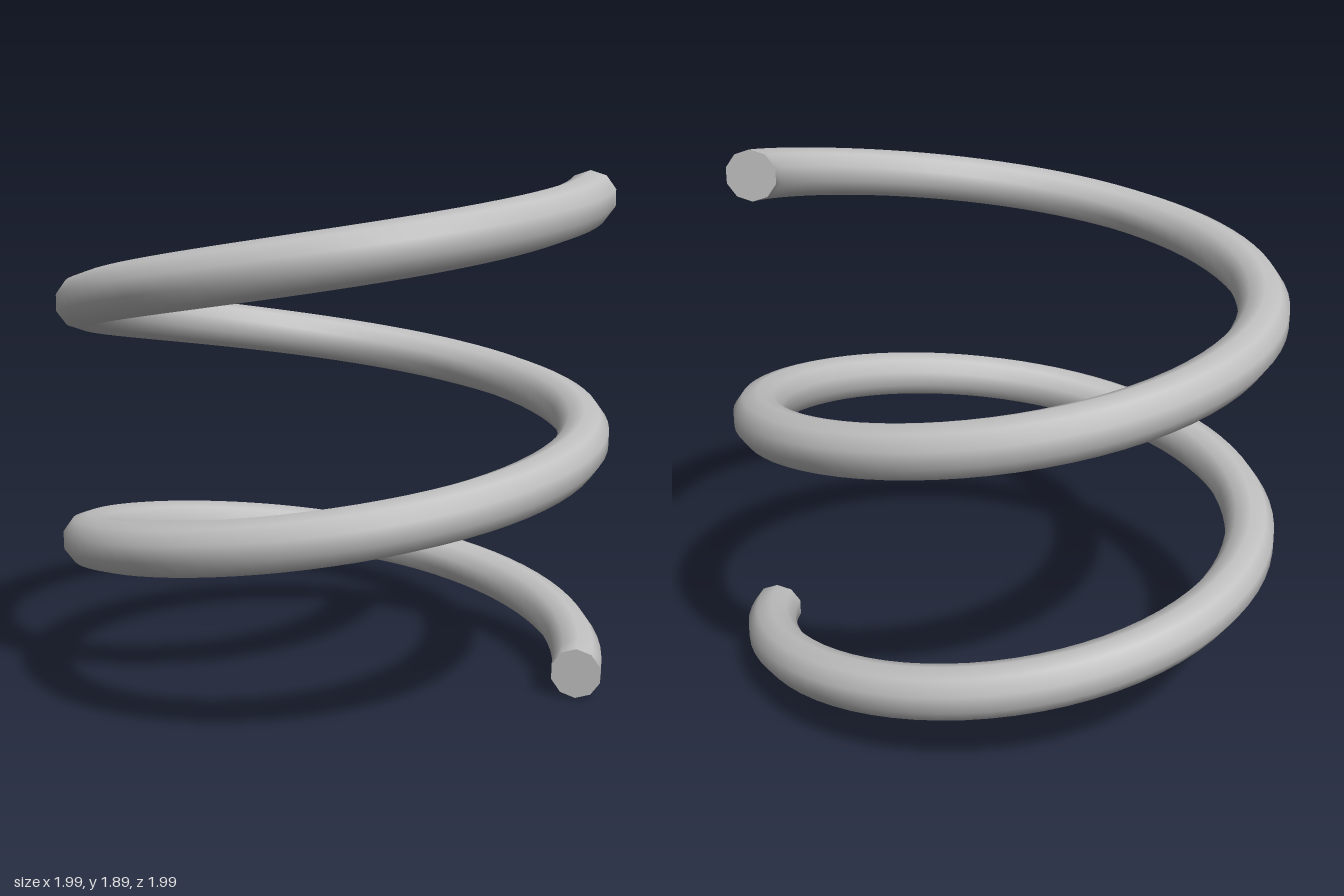
import * as THREE from 'three';

const TURNS = 2, STEPS = 144, SIDES = 10;
const COIL_RADIUS = 0.907, WIRE_RADIUS = 0.0925;
const BOTTOM = 0.0945, TOP = 1.8;
const PHASE = Math.PI / SIDES; // puts a corner at the top of the section

// Wire swept along a helix, with upright radial cross-sections
function coilGeometry() {
  const positions = [], index = [];
  for (let i = 0; i <= STEPS; i++) {
    const t = (i / STEPS) * TURNS * Math.PI * 2;
    const y = BOTTOM + (TOP - BOTTOM) * (i / STEPS);
    for (let j = 0; j < SIDES; j++) {
      const a = PHASE + (j / SIDES) * Math.PI * 2;
      const r = COIL_RADIUS + WIRE_RADIUS * Math.cos(a);
      positions.push(r * Math.cos(t), y + WIRE_RADIUS * Math.sin(a), -r * Math.sin(t));
      if (i < STEPS) {
        const k = (j + 1) % SIDES;
        const p = i * SIDES + j, q = i * SIDES + k;
        index.push(p, p + SIDES, q, q, p + SIDES, q + SIDES);
      }
    }
  }
  const geometry = new THREE.BufferGeometry();
  geometry.setAttribute('position', new THREE.Float32BufferAttribute(positions, 3));
  geometry.setIndex(index);
  geometry.computeVertexNormals();
  return geometry;
}

export function createModel() {
  const group = new THREE.Group();
  group.name = 'coilSpring';
  const steel = new THREE.MeshStandardMaterial({ color: 0xc0c0c0 });
  steel.name = 'greySteel';

  const coil = new THREE.Mesh(coilGeometry(), steel);
  coil.name = 'coil';
  group.add(coil);

  // Flat cut ends: the lower faces forward, the upper faces back
  const capGeometry = new THREE.CircleGeometry(WIRE_RADIUS, SIDES, PHASE);
  for (const [name, y, turn] of [['lowerEnd', BOTTOM, 0], ['upperEnd', TOP, Math.PI]]) {
    const cap = new THREE.Mesh(capGeometry, steel);
    cap.name = name;
    cap.position.set(COIL_RADIUS, y, 0);
    cap.rotation.y = turn;
    group.add(cap);
  }
  return group;
}
